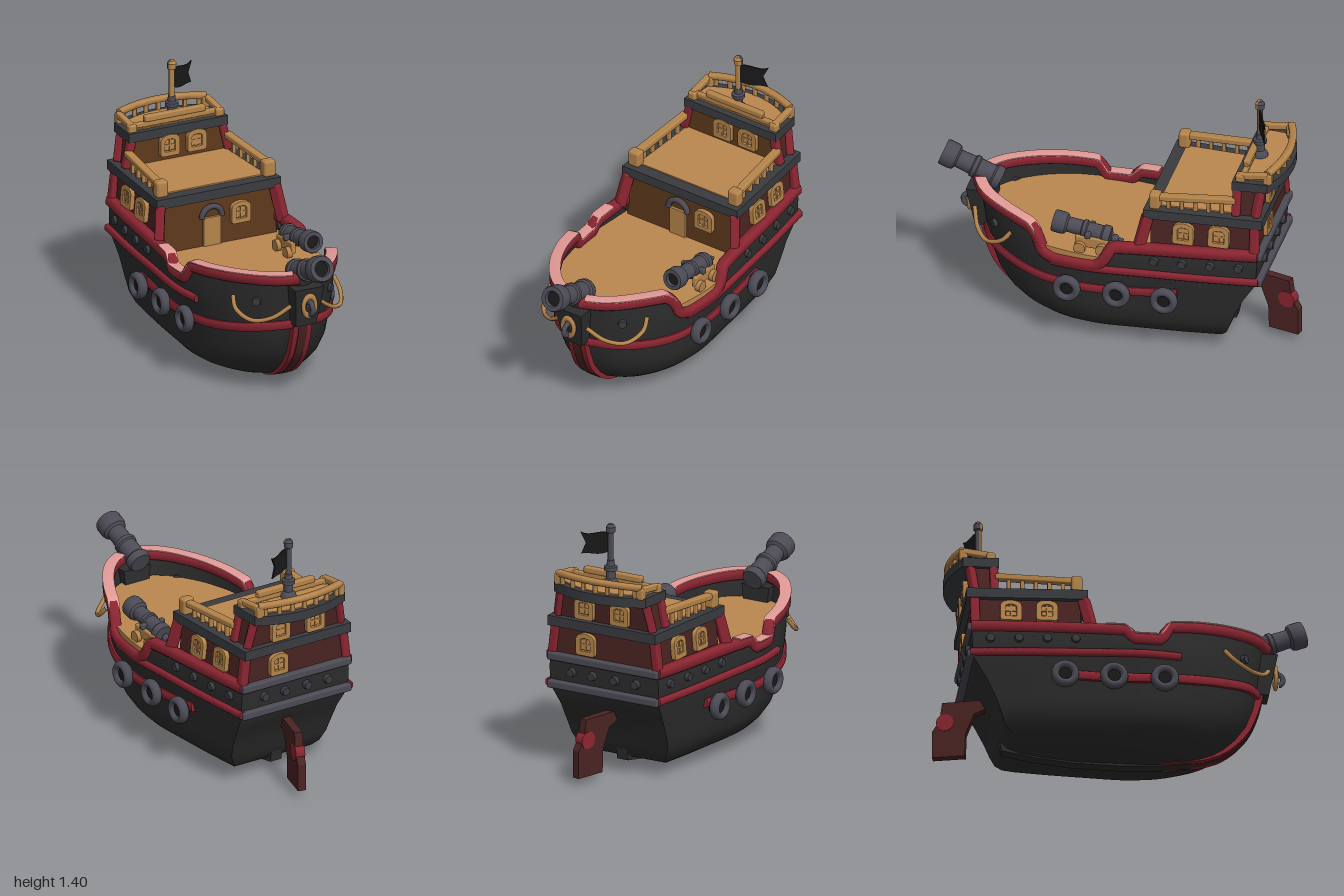
import * as THREE from 'three';
import { toCreasedNormals } from 'three/addons/utils/BufferGeometryUtils.js';
import { RoundedBoxGeometry } from 'three/addons/geometries/RoundedBoxGeometry.js';

const V = (x, y, z) => new THREE.Vector3(x, y, z);
const lerp = THREE.MathUtils.lerp;

// Monotone smooth interpolation through [x, y] pairs
function curve(t) {
  const d = t.slice(1).map((p, i) => (p[1] - t[i][1]) / (p[0] - t[i][0]));
  const m = t.map((_, i) => i === 0 ? d[0] : i === d.length ? d[i - 1]
    : d[i - 1] * d[i] > 0 ? 2 * d[i - 1] * d[i] / (d[i - 1] + d[i]) : 0);
  return (x) => {
    if (x <= t[0][0]) return t[0][1];
    if (x >= t[d.length][0]) return t[d.length][1];
    const i = t.findIndex((p) => p[0] > x) - 1, h = t[i + 1][0] - t[i][0], s = (x - t[i][0]) / h;
    return t[i][1] * (1 + 2 * s) * (1 - s) ** 2 + m[i] * h * s * (1 - s) ** 2
      + t[i + 1][1] * s * s * (3 - 2 * s) + m[i + 1] * h * s * s * (s - 1);
  };
}

// Hull lines: half-beam, bow and stern by height; plan shape along the length; rail height by z
const width = curve([[.012, .02], [.03, .17], [.05, .25], [.1, .32], [.2, .37], [.35, .385], [.47, .405], [.55, .41], [.65, .4], [.75, .385]]);
const bow = curve([[.012, .2], [.04, .4], [.08, .51], [.15, .6], [.25, .675], [.42, .73], [.55, .75], [.72, .78]]);
const stern = curve([[.012, -.2], [.03, -.42], [.06, -.58], [.1, -.64], [.2, -.68], [.32, -.73], [.47, -.82], [.65, -.83]]);
const plan = curve([[0, .83], [.2, .91], [.39, .96], [.57, 1], [.71, .94], [.8, .83], [.9, .6], [.956, .38], [1, .03]]);
const sheer = {
  1: curve([[-.84, .64], [-.06, .62], [0, .53], [.05, .5], [.25, .5], [.33, .53], [.37, .62], [.42, .66], [.78, .71]]),
  [-1]: curve([[-.84, .64], [-.02, .62], [.04, .57], [.16, .57], [.22, .65], [.3, .66], [.78, .71]]),
};
const wale = curve([[-.42, .37], [0, .35], [.3, .365], [.5, .39], [.73, .44]]);
const hullX = (z, y) => width(y) * plan((z - stern(y)) / (bow(y) - stern(y)));

export function createModel() {
  const root = new THREE.Group();
  const mat = (name, color) => {
    const m = new THREE.MeshStandardMaterial({ color });
    m.name = name;
    return m;
  };
  const black = mat('black planks', 0x2d2d2d), red = mat('red trim', 0x8b2531), pink = mat('faded trim', 0xe29a96);
  const wood = mat('light wood', 0xb5844a), deckMat = mat('deck wood', 0xbb8750), brown = mat('brown wall', 0x5e3a1c);
  const maroon = mat('maroon wood', 0x4a2422), grey = mat('gunmetal', 0x4c4b55), dark = mat('dark beam', 0x3a3b40);
  const pitch = mat('pitch black', 0x191919);
  black.side = pitch.side = THREE.DoubleSide;

  const add = (name, geo, m, x = 0, y = 0, z = 0, parent = root) => {
    const mesh = new THREE.Mesh(geo, m);
    mesh.name = name;
    mesh.position.set(x, y, z);
    parent.add(mesh);
    return mesh;
  };
  // Rounded bar between two points
  const beam = (name, m, a, b, w, h = w) => {
    const mesh = add(name, new RoundedBoxGeometry(w, h, a.distanceTo(b), 2, Math.min(w, h) * .25), m);
    mesh.position.copy(a).lerp(b, .5);
    mesh.lookAt(b);
  };
  // Tapered block; plan = [front z, front half-width, back z, back half-width]
  const block = (name, m, y0, y1, lo, hi = lo) => {
    const g = new THREE.BoxGeometry(1, 1, 1), p = g.attributes.position;
    for (let i = 0; i < p.count; i++) {
      const c = p.getY(i) > 0 ? hi : lo, k = p.getZ(i) > 0 ? 0 : 2;
      p.setXYZ(i, Math.sign(p.getX(i)) * c[k + 1], p.getY(i) > 0 ? y1 : y0, c[k]);
    }
    g.computeVertexNormals();
    add(name, g, m);
  };
  // Chamfered bar swept along a list of points
  const strip = (name, m, pts, w, h) => {
    const pos = [], idx = [], n = pts.length, pw = (v) => Math.sign(v) * Math.sqrt(Math.abs(v));
    pts.forEach((p, i) => {
      const t = pts[Math.min(i + 1, n - 1)].clone().sub(pts[Math.max(i - 1, 0)]).normalize();
      const out = V(t.z, 0, -t.x).normalize(), up = t.clone().cross(out);
      for (let j = 0; j < 8; j++) {
        const a = (j + .5) * Math.PI / 4, k = (j + 1) % 8, A = i * 8 + j, B = i * 8 + k;
        pos.push(...p.clone().addScaledVector(out, w / 2 * pw(Math.cos(a))).addScaledVector(up, h / 2 * pw(Math.sin(a))));
        if (i < n - 1) idx.push(A, B, A + 8, B, B + 8, A + 8);
        if (j && j < 7) i === 0 ? idx.push(0, k, j) : i === n - 1 && idx.push(i * 8, A, B);
      }
    });
    const g = new THREE.BufferGeometry();
    g.setAttribute('position', new THREE.Float32BufferAttribute(pos, 3));
    g.setIndex(idx);
    add(name, toCreasedNormals(g, .9), m);
  };
  // Side outline of [z, y] points with thickness across x
  const sideCut = (pts, t) => new THREE.ExtrudeGeometry(new THREE.Shape(pts.map((p) => new THREE.Vector2(...p))),
    { depth: t, bevelEnabled: false }).rotateY(-Math.PI / 2).translate(t / 2, 0, 0);
  const along = (z0, z1, n, f) => Array.from({ length: n + 1 }, (_, i) => f(lerp(z0, z1, i / n)));

  // Hull shell with bulwarks
  const rows = [.012, .02, .03, .05, .075, .11, .17, .25, .35, .46], N = 60, pos = [], idx = [], cols = 2 * (N + 1);
  for (let r = 0; r < rows.length + 3; r++) {
    for (let c = 0; c < cols; c++) {
      const s = c <= N ? 1 : -1, u = 1 - (1 - (c <= N ? c : cols - 1 - c) / N) ** 1.3;
      const top = sheer[s](lerp(stern(.6), bow(.6), u));
      const y = r < rows.length ? rows[r] : lerp(.46, top, (r - rows.length + 1) / 3);
      pos.push(s * width(y) * plan(u), y, lerp(stern(y), bow(y), u));
      if (r) {
        const a = (r - 1) * cols + c, b = (r - 1) * cols + (c + 1) % cols;
        idx.push(a, a + cols, b, b, a + cols, b + cols);
      }
    }
  }
  const hull = new THREE.BufferGeometry();
  hull.setAttribute('position', new THREE.Float32BufferAttribute(pos, 3));
  hull.setIndex(idx);
  add('hull', toCreasedNormals(hull, .7), black);
  add('keel', sideCut([[.42, .06], [.36, .028], [.2, .01], [0, 0], [-.25, .005], [-.45, .025], [-.64, .06], [-.655, .15], [-.6, .15]], .07), black);

  // Stem with a darker centre
  const heights = along(.015, .44, 14, (y) => y), back = [...heights].reverse();
  const stem = (out) => [...heights.map((y) => [bow(y) + out, y]), ...back.map((y) => [bow(y) - .09, y + .01])];
  add('stem', sideCut(stem(.015), .11), red);
  add('stemCentre', sideCut(stem(.02), .05), maroon);

  // Main deck, rising slightly towards the bow
  const edge = along(-.8, .735, 40, (z) => [hullX(z, .55) - .008, -z]);
  const deck = new THREE.Shape([...edge, ...edge.map(([x, y]) => [-x, y]).reverse()].map((p) => new THREE.Vector2(...p)));
  const deckGeo = new THREE.ExtrudeGeometry(deck, { depth: .05, bevelEnabled: false }).rotateX(-Math.PI / 2);
  const dp = deckGeo.attributes.position;
  for (let i = 0; i < dp.count; i++) dp.setY(i, dp.getY(i) + .5 + .05 * dp.getZ(i));
  add('mainDeck', deckGeo, deckMat);

  // Window facing +z, with frame, pane and glazing bars
  const addWindow = (x, y, z, ry, tilt = 0) => {
    const g = new THREE.Group();
    g.name = 'window';
    const arch = (P, w, h) => {
      const o = new P();
      o.moveTo(-w * .8, -h); o.lineTo(w * .8, -h);
      o.quadraticCurveTo(w, -h, w, -h * .75); o.lineTo(w, h * .4);
      o.quadraticCurveTo(w, h * .95, 0, h); o.quadraticCurveTo(-w, h * .95, -w, h * .4);
      o.lineTo(-w, -h * .75); o.quadraticCurveTo(-w, -h, -w * .8, -h);
      return o;
    };
    const frame = arch(THREE.Shape, .054, .058);
    frame.holes.push(arch(THREE.Path, .034, .039));
    add('windowFrame', new THREE.ExtrudeGeometry(frame, { depth: .02, bevelSize: .004, bevelThickness: .004, bevelSegments: 2 }), wood, 0, 0, 0, g);
    add('windowPane', new THREE.ShapeGeometry(arch(THREE.Shape, .038, .042)), brown, 0, 0, .006, g);
    // Four light panes with dark gaps between them and the frame
    for (const px of [-.016, .016]) for (const py of [-.018, .016])
      add('windowLight', new THREE.BoxGeometry(.024, .024, .009), deckMat, px, py, .01, g);
    add('windowBar', new THREE.BoxGeometry(.009, .078, .014), wood, 0, 0, .012, g);
    add('windowBar', new THREE.BoxGeometry(.07, .009, .014), wood, 0, 0, .012, g);
    g.position.set(x, y, z);
    g.rotation.set(tilt, ry, 0, 'YXZ');
    root.add(g);
  };

  // Stern castle: walls, beams and raised decks
  const walls = [maroon, maroon, brown, brown, brown, maroon];
  block('lowerCabin', walls, .5, .82, [-.25, .365, -.82, .325], [-.25, .335, -.82, .305]);
  block('quarterDeckBeam', dark, .808, .862, [-.215, .37, -.855, .335]);
  block('quarterDeck', deckMat, .86, .869, [-.28, .31, -.72, .29]);
  block('upperCabin', walls, .86, 1.02, [-.7, .3, -.82, .29], [-.7, .268, -.84, .265]);
  const roof = (inset) => {
    const o = new THREE.Shape();
    o.moveTo(-.295 + inset, .68 + inset); o.lineTo(.295 - inset, .68 + inset); o.lineTo(.285 - inset, .87 - inset);
    o.quadraticCurveTo(0, 1.02 - inset, -.285 + inset, .87 - inset);
    return o;
  };
  const slab = (inset, depth) => new THREE.ExtrudeGeometry(roof(inset), { depth, bevelEnabled: false, curveSegments: 16 }).rotateX(-Math.PI / 2);
  add('poopDeckBeam', slab(0, .052), dark, 0, 1.008, 0);
  add('poopDeck', slab(.035, .008), deckMat, 0, 1.058, 0);
  [[.48, .345], [.635, .345]].forEach(([y, x]) => beam('sternBeam', grey, V(-x, y, -.83), V(x, y, -.83), .045, .045));
  addWindow(-.05, .955, -.7, 0);
  addWindow(.11, .955, -.7, 0);
  addWindow(.14, .7, -.25, 0);
  [-.11, .11].forEach((x) => addWindow(x, .935, -.835, Math.PI));
  addWindow(.11, .73, -.82, Math.PI);
  add('door', new THREE.BoxGeometry(.1, .16, .02), wood, -.03, .62, -.245);
  add('doorArch', new THREE.TorusGeometry(.06, .016, 8, 16, Math.PI), grey, -.03, .7, -.24);
  for (const x of [-.2, -.07, .07, .2]) add('stud', new THREE.CylinderGeometry(.027, .022, .03, 12).rotateX(Math.PI / 2), dark, x, .56, -.835);

  for (const s of [1, -1]) {
    // Red rail, faded top and wales
    const railPt = (dy) => (z) => {
      const y = sheer[s](z);
      return V(s * (hullX(z, y) - .008), y + dy, z);
    };
    strip('bulwarkRail', red, along(-.83, .765, 90, railPt(0)), .062, .06);
    strip('fadedRailTop', pink, along(s > 0 ? .36 : -.12, .75, 60, railPt(.029)), .064, .009);
    const band = (y) => (z) => V(s * (hullX(z, y) + .003), y, z);
    strip('sternWale', red, along(-.835, .28, 30, band(.485)), .04, .04);
    strip('wale', red, along(-.4, .725, 50, (z) => V(s * (hullX(z, wale(z)) + .003), wale(z), z)), .035, .05);

    // Gun port rings and studs
    for (const z of [.19, -.08, -.34]) {
      add('gunPortRing', new THREE.TorusGeometry(.054, .022, 10, 20).scale(1, 1, 1.3), grey, s * .418, .345, z).rotation.y = Math.PI / 2;
      add('gunPort', new THREE.CylinderGeometry(.045, .045, .05, 16).rotateZ(Math.PI / 2), pitch, s * .4, .345, z);
    }
    for (const z of [-.73, -.58, -.43, -.28, .63]) {
      const stud = add('stud', new THREE.CylinderGeometry(.022, .027, .035, 12).rotateZ(-Math.PI / 2), dark, s * hullX(z, .565), .565, z);
      stud.rotation.y = z > 0 ? -s * .9 + (s < 0 ? Math.PI : 0) : s < 0 ? Math.PI : 0;
    }

    // Cabin corner posts and side windows
    beam('cabinPost', red, V(s * .37, .62, -.19), V(s * .34, .82, -.235), .05, .06);
    beam('cabinPost', red, V(s * .33, .62, -.81), V(s * .305, .82, -.81), .05);
    beam('upperPost', red, V(s * .305, .86, -.705), V(s * .27, 1.01, -.705), .045);
    beam('upperPost', red, V(s * .295, .86, -.81), V(s * .265, 1.01, -.83), .045);
    for (const z of [-.43, -.62]) addWindow(s * lerp(.34, .325, (z + .43) / -.19), .735, z, s * Math.PI / 2, -.1);

    // Quarter-deck railing
    beam('railPost', wood, V(s * .32, .86, -.27), V(s * .32, .952, -.27), .07, .06);
    beam('quarterRail', wood, V(s * .325, .925, -.26), V(s * .295, .948, -.7), .045, .034);
    for (let i = 1; i < 6; i++) {
      const z = lerp(-.27, -.7, i / 6), x = s * lerp(.322, .297, i / 6);
      beam('baluster', wood, V(x, .86, z), V(x, .93, z), .022);
    }

    // Poop-deck side railing
    beam('railPost', wood, V(s * .26, 1.05, -.72), V(s * .26, 1.1, -.72), .05);
    beam('poopRail', wood, V(s * .262, 1.085, -.71), V(s * .262, 1.105, -.87), .034);
    beam('railPost', wood, V(s * .255, 1.05, -.865), V(s * .255, 1.115, -.865), .045);

    // Mooring rope swags at the bow
    const rope = [[.3, .575, .52], [.31, .52, .57], [.265, .478, .665], [.18, .5, .735], [.085, .565, .775]];
    add('bowRope', new THREE.TubeGeometry(new THREE.CatmullRomCurve3(rope.map(([x, y, z]) => V(s * x, y, z))), 28, .012, 7), wood);
  }

  // Poop-deck front and arched back rails
  beam('poopFrontRail', wood, V(-.18, 1.112, -.73), V(.18, 1.112, -.73), .036);
  beam('poopLowRail', wood, V(-.27, 1.082, -.73), V(.27, 1.082, -.73), .028);
  const arc = along(-1, 1, 20, (t) => V(.26 * t, 1.122 - .008 * t * t, -.92 + .055 * t * t));
  strip('poopBackRail', wood, arc, .04, .034);
  for (let i = -3; i <= 3; i++) {
    beam('baluster', wood, V(i * .058, 1.05, -.73), V(i * .058, 1.11, -.73), .02);
    beam('baluster', wood, V(i * .075, 1.05, -.915 + .004 * i * i), V(i * .075, 1.12, -.915 + .004 * i * i), .022);
  }

  // Flagpole, light at the front and dark behind, and flag
  const turned = (pts, start = 0, sweep = Math.PI * 2) =>
    toCreasedNormals(new THREE.LatheGeometry(pts.map((p) => new THREE.Vector2(...p)), 20, start, sweep), .6);
  add('poleSocket', turned([[0, 1.06], [.045, 1.06], [.04, 1.085], [.025, 1.1], [.025, 1.14], [.036, 1.145], [.036, 1.165], [.022, 1.17], [.02, 1.2], [0, 1.2]]), grey, 0, 0, -.76);
  const pole = [[0, 1.19], [.016, 1.19], [.016, 1.35], [.024, 1.355], [.025, 1.385], [.015, 1.4], [0, 1.402]];
  add('flagpoleFront', turned(pole, -1.2, 2.4), wood, 0, 0, -.76);
  add('flagpoleBack', turned(pole, 1.2, Math.PI * 2 - 2.4), grey, 0, 0, -.76);
  const flag = new THREE.Shape();
  flag.moveTo(0, 1.35);
  flag.bezierCurveTo(.05, 1.365, .1, 1.32, .15, 1.35);
  flag.lineTo(.12, 1.29);
  flag.lineTo(.145, 1.228);
  flag.bezierCurveTo(.1, 1.243, .06, 1.215, 0, 1.245);
  add('flag', new THREE.ExtrudeGeometry(flag, { depth: .008, bevelEnabled: false }), pitch, .012, 0, -.765).rotation.y = .43;

  // Cannon barrel from breech to muzzle
  const cannon = (name, a, b, r) => {
    const L = a.distanceTo(b), prof = [[0, 0], [.8, 0], [.9, .04], [.9, .12], [.76, .15], [.74, .4], [.85, .42], [.85, .48],
      [.72, .5], [.68, .74], [.92, .77], [1, .82], [1, .97], [.94, 1], [.6, 1], [.55, .93]];
    const fix = (m) => m.quaternion.setFromUnitVectors(V(0, 1, 0), b.clone().sub(a).normalize());
    fix(add(name, turned(prof.map(([x, y]) => [x * r, y * L])), grey, a.x, a.y, a.z));
    const bore = a.clone().lerp(b, .9);
    fix(add('cannonBore', new THREE.CylinderGeometry(r * .58, r * .58, L * .08, 16), pitch, bore.x, bore.y, bore.z));
  };
  cannon('bowCannon', V(0, .705, .65), V(0, .83, .968), .072);
  cannon('deckCannon', V(.3, .628, -.02), V(.3, .682, .29), .06);
  add('cannonKnob', new THREE.SphereGeometry(.024, 12, 8), grey, .3, .618, -.045);
  beam('cannonKnobTip', grey, V(.3, .618, -.04), V(.3, .608, -.09), .022);
  for (const x of [.25, .35]) {
    beam('carriageCheek', wood, V(x, .6, -.02), V(x, .61, .16), .025, .06);
    for (const z of [.01, .13]) add('carriageWheel', new THREE.CylinderGeometry(.032, .032, .03, 14).rotateZ(Math.PI / 2), wood, x + (x > .3 ? .022 : -.022), .58, z);
  }
  beam('carriageAxle', grey, V(.225, .65, .09), V(.375, .65, .09), .03);

  // Bow plate with rope ring and hook
  block('bowPlate', black, .44, .665, [.78, .06, .68, .06], [.825, .085, .68, .085]);
  add('bowRing', new THREE.TorusGeometry(.036, .012, 8, 20).scale(1, 1.5, 1), wood, 0, .565, .82);
  add('bowHook', new THREE.TorusGeometry(.034, .015, 8, 16, 4.4).rotateY(Math.PI / 2), grey, 0, .555, .825);

  // Rudder, turned slightly to one side
  const rudder = new THREE.Group();
  rudder.name = 'rudder';
  rudder.position.set(0, 0, -.72);
  rudder.rotation.y = -.25;
  root.add(rudder);
  add('rudderBlade', sideCut([[.04, .36], [-.23, .355], [-.245, .25], [-.285, .19], [-.285, .04], [-.11, .04], [-.105, .17], [-.06, .28], [.04, .32]], .045), maroon, 0, 0, 0, rudder);
  add('rudderPatch', new THREE.CylinderGeometry(.048, .048, .052, 16).rotateZ(Math.PI / 2), red, 0, .24, -.215, rudder);
  return root;
}
